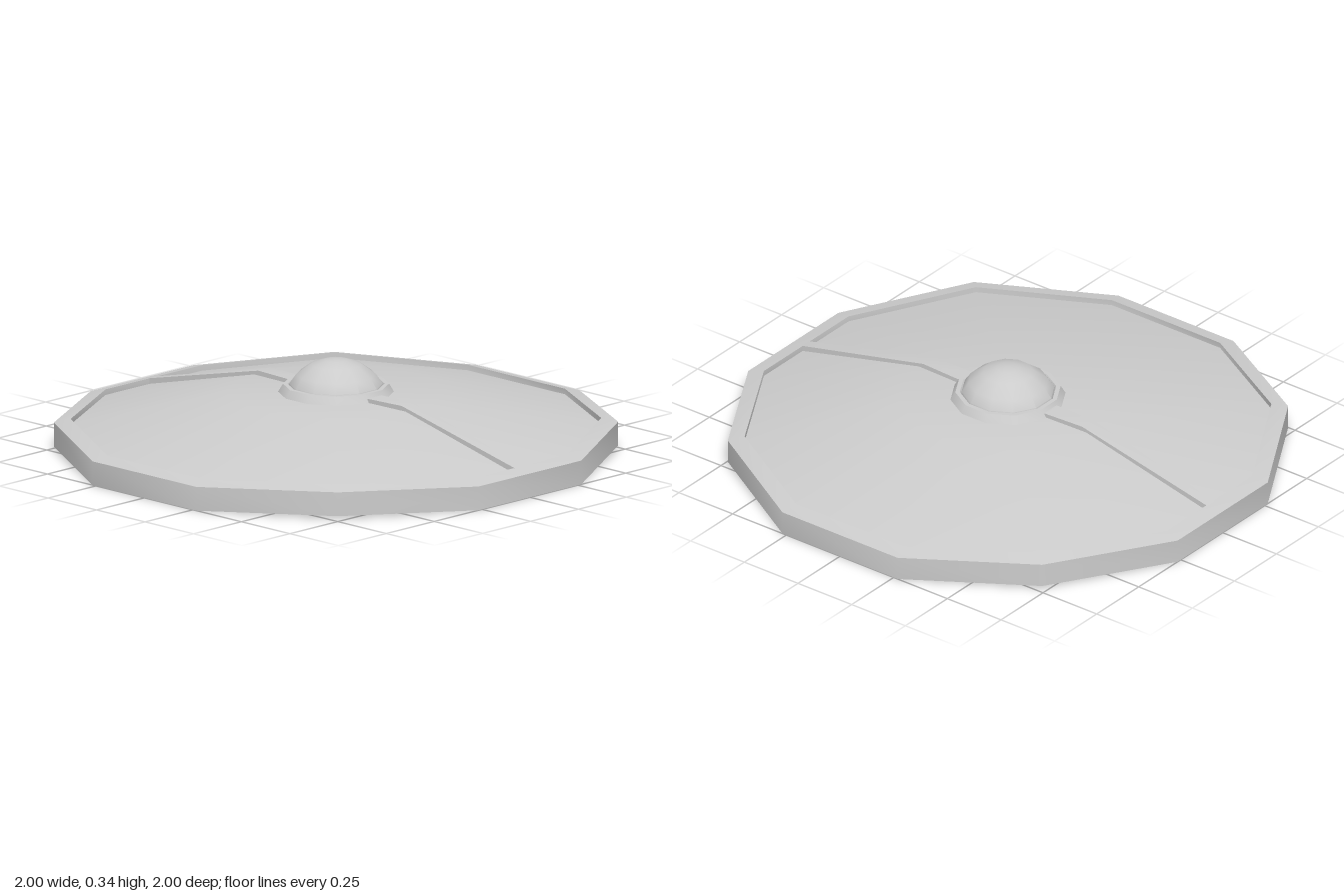
import * as THREE from 'three';
import { toCreasedNormals } from 'three/addons/utils/BufferGeometryUtils.js';

const material = new THREE.MeshStandardMaterial({ color: 0xcccccc });
const SIDES = 12;

function addMesh(group, name, geometry) {
  const mesh = new THREE.Mesh(toCreasedNormals(geometry, 0.6), material);
  mesh.name = name;
  group.add(mesh);
  return mesh;
}

// Twelve-sided turned part; radii are given to the middle of each side.
function turned(profile) {
  const points = profile.map(([r, y]) => new THREE.Vector2(r / Math.cos(Math.PI / SIDES), y));
  return new THREE.LatheGeometry(points, SIDES, Math.PI / SIDES);
}

// Dished body: hollow back, outer wall, rim and the sunken sloping panel.
// The four diagonal corners of the rim are lifted a little.
function bodyGeometry() {
  const profile = [
    [0, 0.125], [0.39, 0.125], [1, 0], [1, 0], [1, 0.09],
    [0.94, 0.104], [0.94, 0.083], [0.39, 0.22], [0, 0.22],
  ];
  const geometry = turned(profile);
  const position = geometry.attributes.position;
  for (let column = 1; column <= SIDES; column += 3) {
    const start = column * profile.length;
    // The hollow begins on the chord between the neighbouring corners
    const chord = Math.cos(Math.PI / 6);
    position.setX(start + 2, position.getX(start + 2) * chord);
    position.setZ(start + 2, position.getZ(start + 2) * chord);
    for (let row = 3; row <= 6; row++) {
      position.setY(start + row, position.getY(start + row) + 0.014);
    }
  }
  return geometry;
}

// Raised bar along +x, lofted through [x, top height, half width] sections.
function barGeometry() {
  const sections = [[0.15, 0.234, 0.038], [0.37, 0.238, 0.032], [0.945, 0.103, 0.021]];
  const depth = 0.03;
  const positions = [];
  const index = [];
  for (const [x, y, w] of sections) {
    positions.push(x, y - depth, w, x, y, w, x, y, -w, x, y - depth, -w);
  }
  for (let s = 0; s < sections.length - 1; s++) {
    for (let k = 0; k < 3; k++) {
      const a = s * 4 + k;
      index.push(a, a + 4, a + 5, a, a + 5, a + 1);
    }
  }
  const geometry = new THREE.BufferGeometry();
  geometry.setAttribute('position', new THREE.Float32BufferAttribute(positions, 3));
  geometry.setIndex(index);
  return geometry;
}

export function createModel() {
  const model = new THREE.Group();
  model.name = 'shield';

  addMesh(model, 'shieldBody', bodyGeometry());

  // Bars from the boss to the rim on both sides
  addMesh(model, 'leftBar', barGeometry());
  addMesh(model, 'rightBar', barGeometry()).rotation.y = Math.PI;

  // Sloping collar and domed boss
  addMesh(model, 'bossCollar', turned([[0.21, 0.212], [0.188, 0.25], [0.172, 0.25], [0.162, 0.235]]));
  addMesh(model, 'bossDome', turned([
    [0.168, 0.235], [0.166, 0.25], [0.142, 0.286], [0.09, 0.325], [0.04, 0.341], [0, 0.345],
  ]));

  return model;
}
